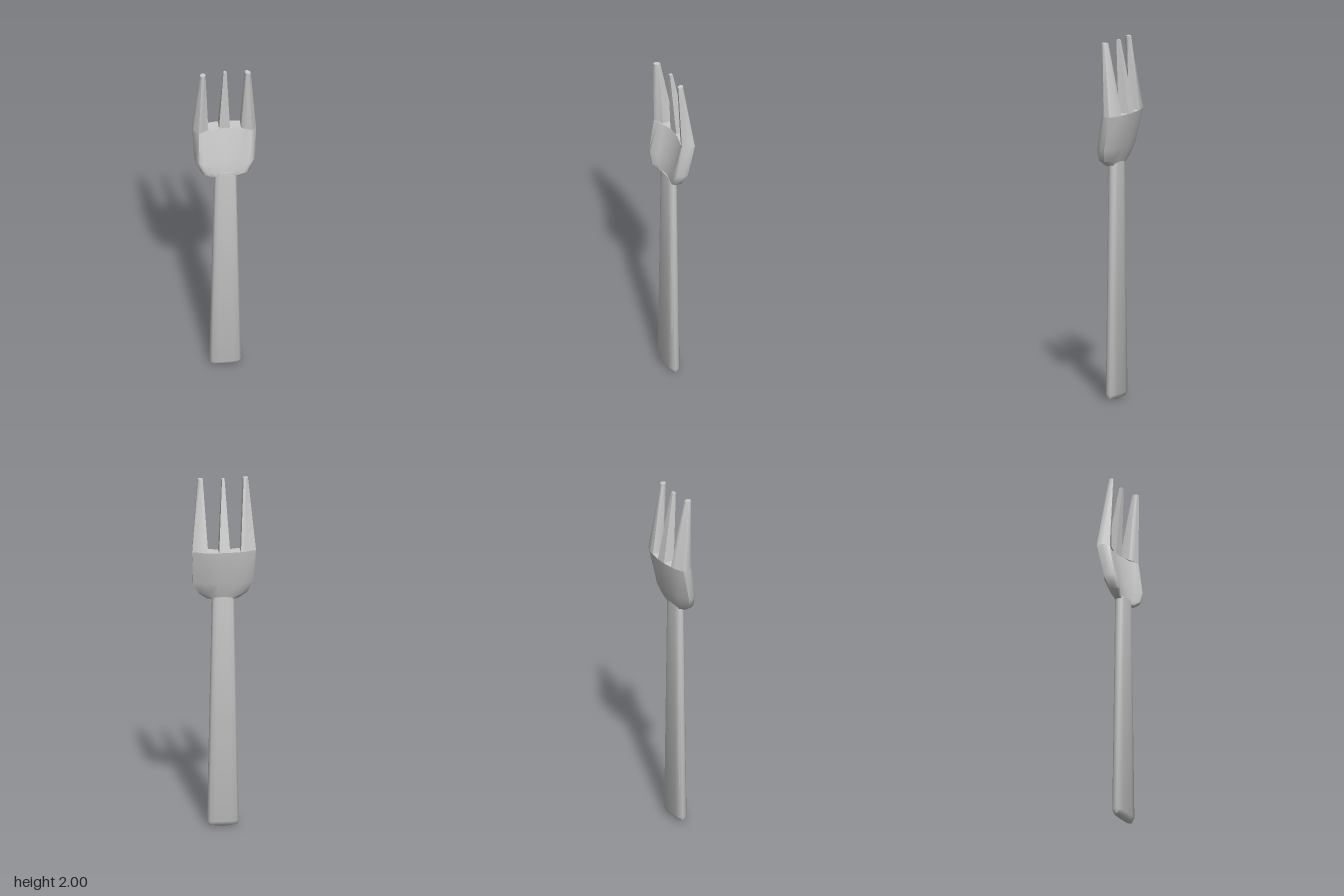
import * as THREE from 'three';
import { toCreasedNormals } from 'three/addons/utils/BufferGeometryUtils.js';

const material = new THREE.MeshStandardMaterial({ color: 0xcccccc });

// Half outline (front centre -> +x side -> back centre) completed by mirroring
const mirrored = (half) => [
  ...half,
  ...half.filter(([x]) => x > 0).reverse().map(([x, z]) => [-x, z]),
];

// Skin over horizontal loops of [x, z], each at height y, closed by fans.
// tipDrop lowers the centre of the bottom cap.
function loft(name, sections, crease, tipDrop = 0) {
  const n = sections[0].loop.length;
  const pos = [];
  const index = [];
  for (const { y, loop } of sections) for (const [x, z] of loop) pos.push(x, y, z);
  for (let s = 0; s < sections.length - 1; s++) {
    for (let i = 0; i < n; i++) {
      const a = s * n + i, b = s * n + ((i + 1) % n);
      index.push(a, b, b + n, a, b + n, a + n);
    }
  }
  const cap = (s, up) => {
    const { y, loop } = sections[s];
    const mean = (k) => loop.reduce((sum, p) => sum + p[k], 0) / n;
    const c = pos.length / 3;
    pos.push(mean(0), up ? y : y - tipDrop, mean(1));
    for (let i = 0; i < n; i++) {
      const a = s * n + i, b = s * n + ((i + 1) % n);
      if (up) index.push(c, a, b);
      else index.push(c, b, a);
    }
  };
  cap(0, false);
  cap(sections.length - 1, true);
  const geo = new THREE.BufferGeometry();
  geo.setAttribute('position', new THREE.Float32BufferAttribute(pos, 3));
  geo.setIndex(index);
  const mesh = new THREE.Mesh(toCreasedNormals(geo, crease), material);
  mesh.name = name;
  return mesh;
}

// Flattened handle section of half width w and half depth d around z = 0.025
const handleSection = (y, w, d) => ({
  y,
  loop: mirrored([
    [0, 1], [0.5, 0.96], [0.86, 0.8], [1, 0.35], [1, -0.35], [0.86, -0.8], [0.5, -0.96], [0, -1],
  ].map(([x, z]) => [x * w, 0.025 + z * d])),
});

export function createModel() {
  const group = new THREE.Group();
  group.name = 'fork';

  // Tapered handle with a softly pointed end
  group.add(loft('handle', [
    handleSection(0.012, 0.078, 0.018),
    handleSection(0.035, 0.086, 0.03),
    handleSection(1.33, 0.059, 0.025),
  ], 0.9, 0.012));

  // Scooped head, concave to the front
  const head = [
    [1.31, [[0, 0.045], [0.05, 0.045], [0.07, 0.05], [0.08, 0.05], [0.088, 0.04], [0.088, 0.03], [0.06, 0.01], [0.03, 0.005]]],
    [1.34, [[0, 0.042], [0.07, 0.05], [0.1, 0.068], [0.115, 0.066], [0.13, 0.045], [0.132, 0.025], [0.09, 0], [0.03, -0.005]]],
    [1.41, [[0, 0.033], [0.08, 0.045], [0.125, 0.066], [0.145, 0.061], [0.165, 0.03], [0.166, 0.005], [0.11, -0.025], [0.03, -0.032]]],
    [1.6, [[0, -0.005], [0.09, 0.005], [0.12, 0.02], [0.145, 0.03], [0.172, 0], [0.175, -0.035], [0.115, -0.06], [0.03, -0.07]]],
  ];
  group.add(loft('head', head.map(([y, half]) => ({ y, loop: mirrored(half) })), 0.9));

  // Centre tine
  group.add(loft('centreTine', [
    { y: 1.6, loop: mirrored([[0.03, -0.005], [0.03, -0.07]]) },
    { y: 2, loop: mirrored([[0.009, 0.022], [0.007, 0.003]]) },
  ], 0.7));

  // Outer tines, one mirrored from the other
  const base = [[0.09, 0.005], [0.12, 0.02], [0.145, 0.03], [0.172, 0], [0.175, -0.035], [0.115, -0.06], [0.09, -0.063]];
  const tip = [[0.108, 0.024], [0.115, 0.04], [0.13, 0.043], [0.139, 0.032], [0.137, 0.02], [0.124, 0.008], [0.112, 0.01]];
  const flip = (loop) => loop.map(([x, z]) => [-x, z]).reverse();
  group.add(loft('leftTine', [{ y: 1.6, loop: base }, { y: 2, loop: tip }], 0.9));
  group.add(loft('rightTine', [{ y: 1.6, loop: flip(base) }, { y: 2, loop: flip(tip) }], 0.9));

  return group;
}
